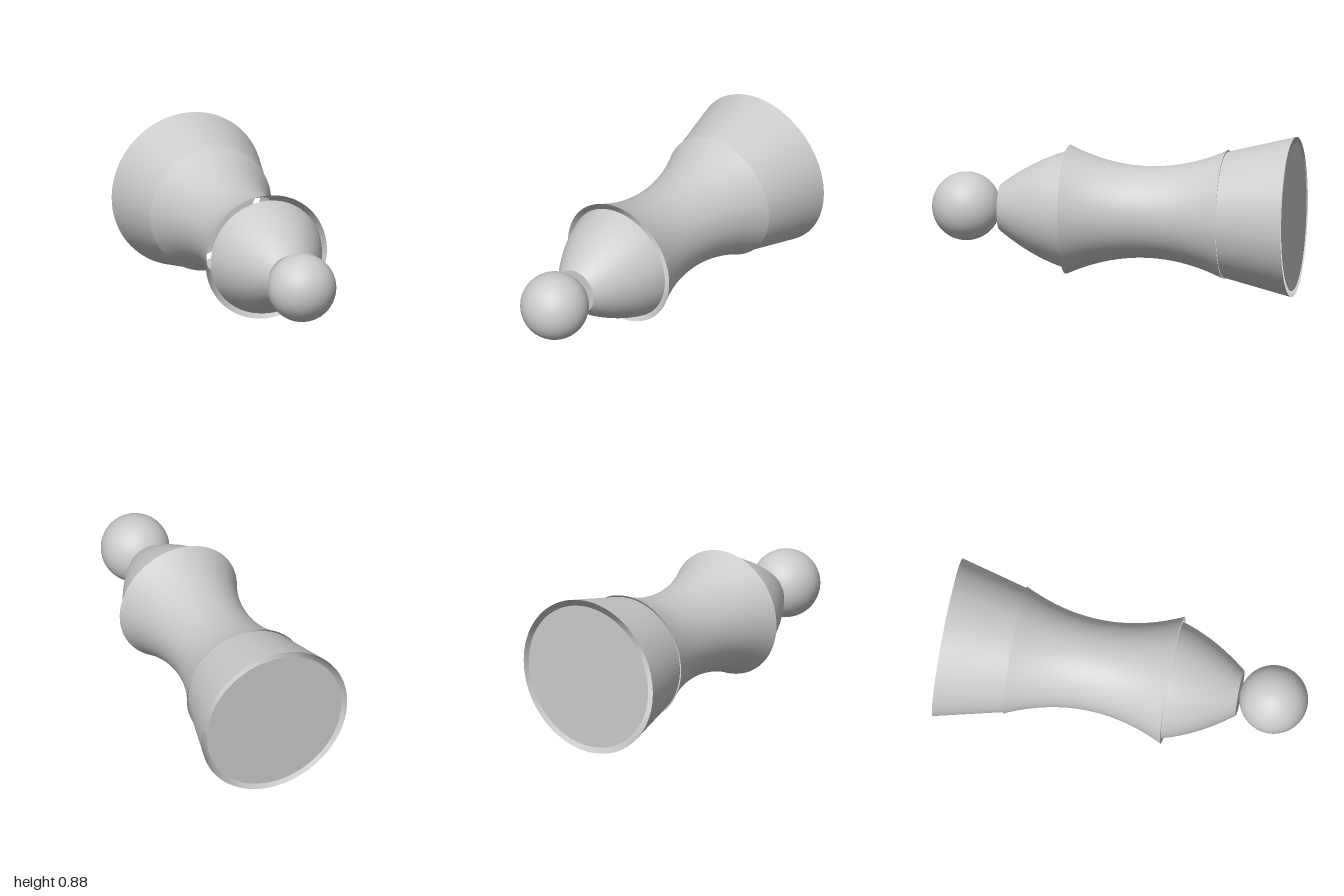
import * as THREE from 'three';

const AXIS_Y = 0.4375;
const SEGMENTS = 96;

export function createModel() {
  const model = new THREE.Group();
  const solid = new THREE.MeshStandardMaterial({ color: 0xcccccc });
  const open = new THREE.MeshStandardMaterial({ color: 0xcccccc, side: THREE.DoubleSide });

  const add = (name, geometry, material, z = 0) => {
    const mesh = new THREE.Mesh(geometry, material);
    mesh.name = name;
    mesh.position.set(0, AXIS_Y, z);
    model.add(mesh);
    return mesh;
  };

  // Open shell of revolution along z; radiusAt(t) runs from the back z0 to the front z1
  const shell = (name, z0, z1, steps, radiusAt) => {
    const points = [];
    for (let i = 0; i <= steps; i++) {
      const t = i / steps;
      points.push(new THREE.Vector2(radiusAt(t), z0 + (z1 - z0) * t));
    }
    return add(name, new THREE.LatheGeometry(points, SEGMENTS).rotateX(Math.PI / 2), open);
  };

  // Ball at the front tip
  add('ball', new THREE.SphereGeometry(0.1875, 64, 40), solid, 0.8125);

  // Convex nose, closed at both ends
  shell('nose', 0.25, 0.625, 20, t => 0.322 - 0.197 * t + 0.092 * t * (1 - t));
  add('noseTip', new THREE.CircleGeometry(0.125, SEGMENTS), open, 0.625);
  add('noseBase', new THREE.CircleGeometry(0.322, SEGMENTS), open, 0.25);

  // Waisted grip, flaring equally towards both open ends
  shell('grip', -0.625, 0.25, 32, t => 0.25 + 0.102 * (2 * t - 1) ** 2);

  // Flared rear sleeve with a disc set just inside its rim
  shell('rearSleeve', -1, -0.625, 1, t => 0.4375 - 0.0935 * t);
  add('rearDisc', new THREE.CircleGeometry(0.404, SEGMENTS), open, -0.998).rotation.y = Math.PI;

  return model;
}
